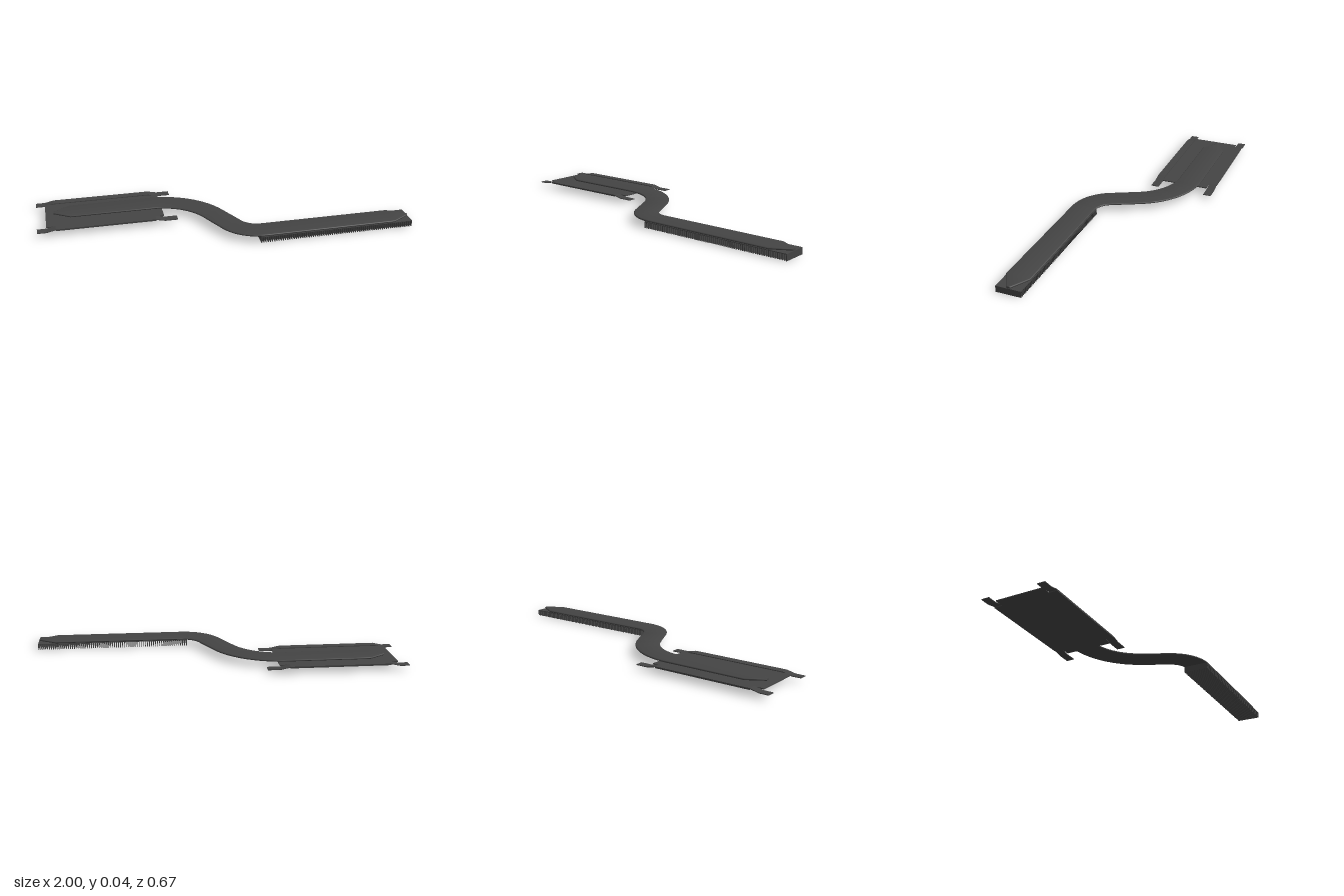
import * as THREE from 'three';
import { toCreasedNormals } from 'three/addons/utils/BufferGeometryUtils.js';

const material = new THREE.MeshStandardMaterial({ color: 0x444444 });

function part(name, geometry, parent) {
  const mesh = new THREE.Mesh(geometry, material);
  mesh.name = name;
  parent.add(mesh);
  return mesh;
}

function box(name, parent, x0, x1, y0, y1, z0, z1) {
  const mesh = part(name, new THREE.BoxGeometry(x1 - x0, y1 - y0, z1 - z0), parent);
  mesh.position.set((x0 + x1) / 2, (y0 + y1) / 2, (z0 + z1) / 2);
}

// Polygon extruded upwards or sideways
function extrude(points, depth) {
  const shape = new THREE.Shape(points.map(([x, y]) => new THREE.Vector2(x, y)));
  return new THREE.ExtrudeGeometry(shape, { depth, bevelEnabled: false });
}

// Stations along the S-bend: x, z, heading angle, half width
function pipeStations() {
  const half = 0.067, tip = 0.01, turn = 1.11, steps = 20;
  const zA = -0.174, zB = 0.267, xA = -0.36, xB = 0.18, rA = 0.35, rB = 0.17;
  const stations = [[-0.905, zA, 0, tip], [-0.815, zA, 0, half]];
  for (let i = 0; i <= steps; i++) {
    const a = turn * i / steps;
    stations.push([xA + rA * Math.sin(a), zA + rA * (1 - Math.cos(a)), a, half]);
  }
  for (let i = steps; i >= 0; i--) {
    const a = turn * i / steps;
    stations.push([xB - rB * Math.sin(a), zB - rB * (1 - Math.cos(a)), a, half]);
  }
  stations.push([0.9, zB, 0, half], [0.997, zB, 0, tip]);
  return stations;
}

// Flattened tube with round sides, swept through the stations
function pipeGeometry(yMid, r) {
  const positions = [], index = [], arc = 6, n = 2 * (arc + 1);
  const stations = pipeStations();
  for (const [x, z, a, half] of stations) {
    for (let j = 0; j < n; j++) {
      const sign = j <= arc ? 1 : -1;
      const t = -Math.PI / 2 + Math.PI * (j % (arc + 1)) / arc + (sign < 0 ? Math.PI : 0);
      const s = sign * (half - r) + r * Math.cos(t);
      positions.push(x - s * Math.sin(a), yMid + r * Math.sin(t), z + s * Math.cos(a));
    }
  }
  for (let i = 0; i < stations.length - 1; i++) {
    for (let j = 0; j < n; j++) {
      const k = (j + 1) % n, p = i * n, q = p + n;
      index.push(p + j, q + j, p + k, q + j, q + k, p + k);
    }
  }
  const last = (stations.length - 1) * n;
  for (let j = 1; j < n - 1; j++) {
    index.push(0, j, j + 1, last, last + j + 1, last + j);
  }
  const geometry = new THREE.BufferGeometry();
  geometry.setAttribute('position', new THREE.Float32BufferAttribute(positions, 3));
  geometry.setIndex(index);
  return toCreasedNormals(geometry, 0.7);
}

export function createModel() {
  const model = new THREE.Group();
  model.name = 'heatPipeCooler';

  // Flat heat pipe
  part('heatPipe', pipeGeometry(0.0395, 0.005), model);

  // Contact plate with notched corners
  const zBack = -0.335, zFront = 0.025, zInBack = -0.288, zInFront = -0.021;
  const outline = [
    [-0.95, zInBack], [-0.9, zInBack], [-0.9, zBack], [-0.36, zBack], [-0.36, zInBack], [-0.31, zInBack],
    [-0.31, zInFront], [-0.36, zInFront], [-0.36, zFront], [-0.9, zFront], [-0.9, zInFront], [-0.95, zInFront],
  ];
  const plate = part('contactPlate', extrude(outline, 0.005), model);
  plate.rotation.x = Math.PI / 2;
  plate.position.y = 0.035;

  // Spring rails: raised middle, ends stepping down to the mounting tabs
  const top = [[-1, 0.028], [-0.95, 0.028], [-0.9, 0.039], [-0.36, 0.039], [-0.31, 0.028], [-0.24, 0.028]];
  const bottom = top.map(([x, y]) => [x, y - 0.004]).reverse();
  for (const [name, z] of [['backRail', -0.335], ['frontRail', -0.019]]) {
    part(name, extrude([...bottom, ...top], 0.044), model).position.z = z;
  }

  // Fin stack under the other end of the pipe
  const stack = new THREE.Group();
  stack.name = 'finStack';
  model.add(stack);
  box('finTopPlate', stack, 0.15, 1, 0.031, 0.0345, 0.199, 0.335);
  const count = 72, thickness = 0.004;
  for (let i = 0; i < count; i++) {
    const x = 0.15 + (0.85 - thickness) * i / (count - 1);
    box('fin', stack, x, x + thickness, 0, 0.031, 0.199, 0.335);
  }
  return model;
}
